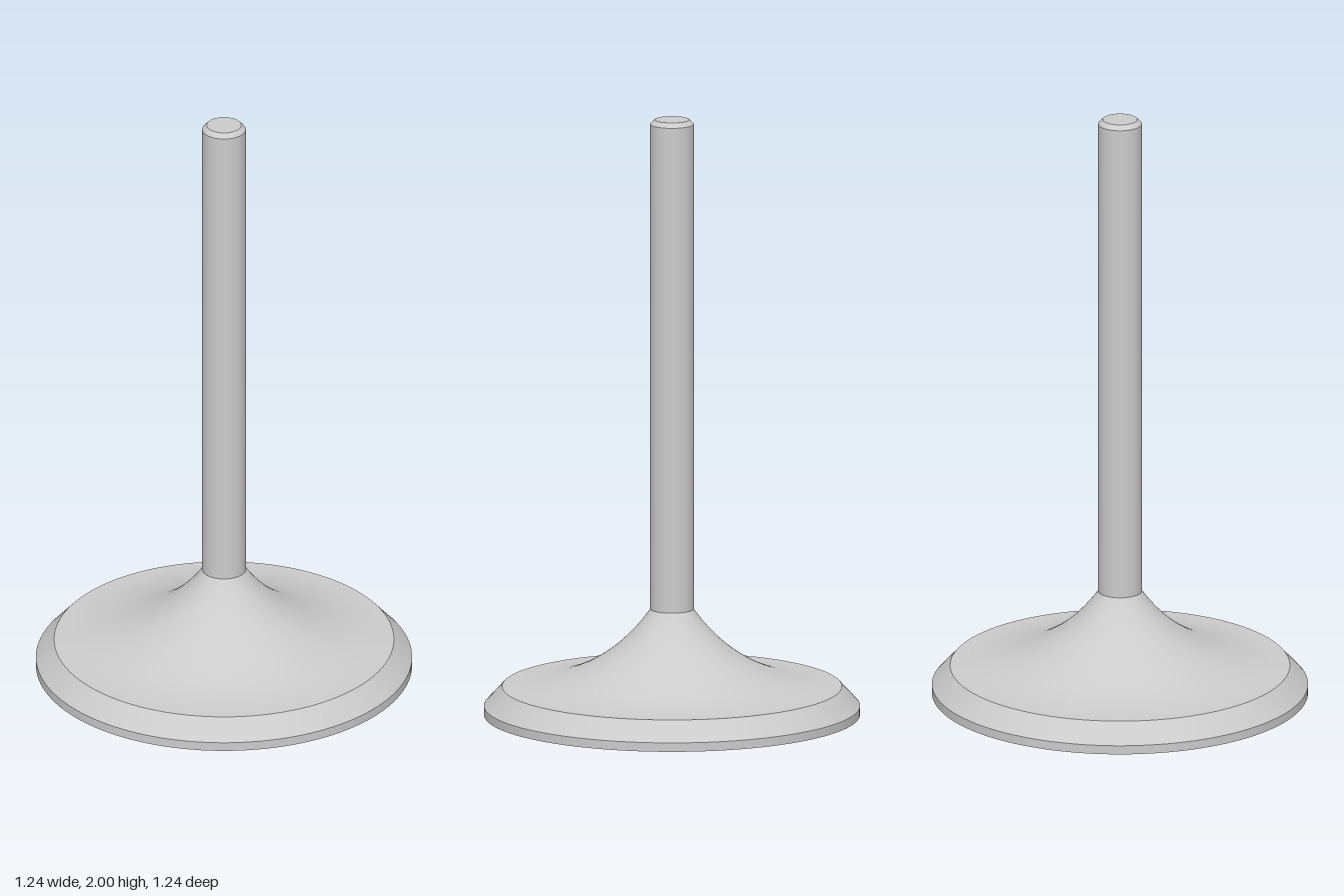
import * as THREE from 'three';

const SEGMENTS = 128;

export function createModel() {
  const group = new THREE.Group();
  group.name = 'poppetValve';
  const material = new THREE.MeshStandardMaterial({ color: 0xcccccc });

  // Each part is its own lathe, so edges between parts stay sharp.
  const turn = (name, profile) => {
    const points = profile.map(([r, y]) => new THREE.Vector2(r, y));
    const mesh = new THREE.Mesh(new THREE.LatheGeometry(points, SEGMENTS), material);
    mesh.name = name;
    group.add(mesh);
  };

  const headR = 0.62, seatR = 0.56, stemR = 0.072, tipR = 0.057;
  const rimY = 0.03, seatY = 0.095, neckY = 0.355, shoulderY = 1.985, topY = 2;

  // Head: flat face, thin margin and bevelled seat
  turn('headFace', [[0, 0], [headR, 0]]);
  turn('headMargin', [[headR, 0], [headR, rimY]]);
  turn('seat', [[headR, rimY], [seatR, seatY]]);

  // Concave fillet: an arc leaving the seat level and rising to the stem
  const run = seatR - stemR, rise = neckY - seatY;
  const radius = (run * run + rise * rise) / (2 * rise);
  const sweep = Math.asin(run / radius);
  const fillet = [];
  for (let i = 0; i <= 32; i++) {
    const a = (sweep * i) / 32;
    fillet.push([seatR - radius * Math.sin(a), seatY + radius * (1 - Math.cos(a))]);
  }
  turn('fillet', fillet);

  // Stem with a chamfered tip
  turn('stem', [[stemR, neckY], [stemR, shoulderY]]);
  turn('tipChamfer', [[stemR, shoulderY], [tipR, topY]]);
  turn('tip', [[tipR, topY], [0, topY]]);

  return group;
}
